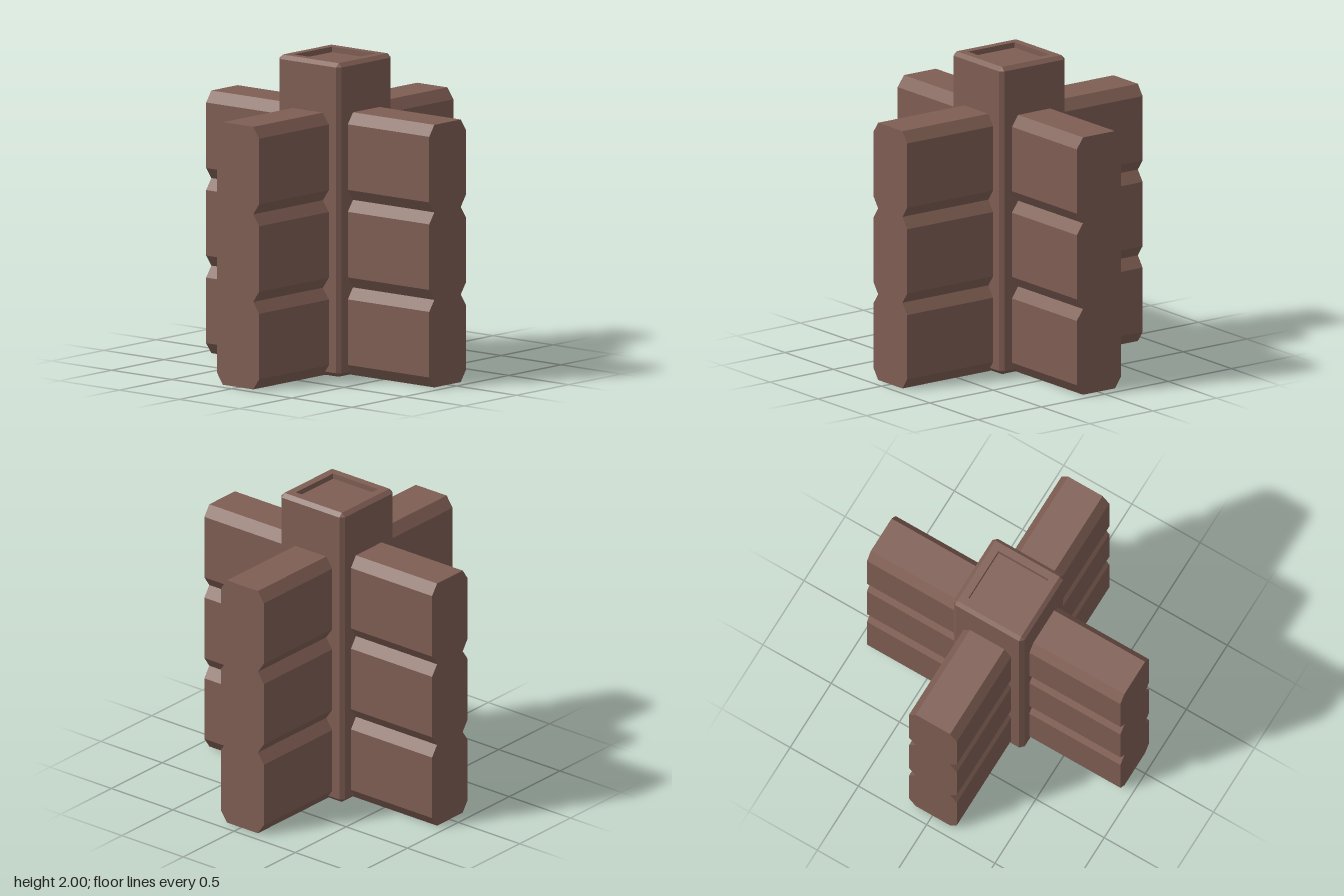
import * as THREE from 'three';

const brown = new THREE.MeshStandardMaterial({ color: 0x7f5e53 });
brown.name = 'brown';

// Square ring with corners cut by c, anticlockwise so faces look outward
function ring(y, h, c) {
  const k = h - c;
  return [[k, h], [h, k], [h, -k], [k, -h], [-k, -h], [-h, -k], [-h, k], [-k, h]]
    .map(([x, z]) => new THREE.Vector3(x, y, z));
}

// Flat-faced skin over a list of rings
function loft(rings) {
  const points = [];
  const tri = (a, b, c) => {
    const area = b.clone().sub(a).cross(c.clone().sub(a)).length();
    if (area > 1e-7) points.push(a, b, c);
  };
  for (let r = 0; r < rings.length - 1; r++) {
    const lo = rings[r], hi = rings[r + 1];
    for (let i = 0; i < 8; i++) {
      const j = (i + 1) % 8;
      tri(lo[i], lo[j], hi[j]);
      tri(lo[i], hi[j], hi[i]);
    }
  }
  const geometry = new THREE.BufferGeometry().setFromPoints(points);
  geometry.computeVertexNormals();
  return geometry;
}

// Three stacked boards with bevelled edges, as one section along z
function boardsGeometry(length) {
  const wide = 0.175, narrow = 0.126, step = 1.675 / 3, bevel = 0.07;
  const side = [[narrow, 0]];
  for (let i = 0; i < 3; i++) {
    side.push([wide, i * step + bevel], [wide, (i + 1) * step - bevel], [narrow, (i + 1) * step]);
  }
  const outline = [...side, ...side.map(([x, y]) => [-x, y]).reverse()];
  const shape = new THREE.Shape(outline.map(([x, y]) => new THREE.Vector2(x, y)));
  return new THREE.ExtrudeGeometry(shape, { depth: length, bevelEnabled: false })
    .translate(0, 0, -length / 2);
}

export function createModel() {
  const group = new THREE.Group();
  const add = (name, geometry, x, z) => {
    const mesh = new THREE.Mesh(geometry, brown);
    mesh.name = name;
    mesh.position.set(x, 0, z);
    group.add(mesh);
    return mesh;
  };

  // Chamfered post with a square recess in its top
  const h = 0.259, c = 0.025, top = 2, recess = 0.183, depth = 0.035;
  add('post', loft([
    ring(0, 0, 0), ring(0, h - c, 0), ring(c, h, c),
    ring(top - c, h, c), ring(top, h - c, 0),
    ring(top, recess, 0), ring(top - depth, recess, 0), ring(top - depth, 0, 0),
  ]), -0.003, -0.008);

  // Two crossing runs of boards
  const boards = boardsGeometry(1.857);
  add('frontBackBoards', boards, -0.003, 0);
  add('leftRightBoards', boards, 0, -0.009).rotation.y = Math.PI / 2;

  return group;
}
